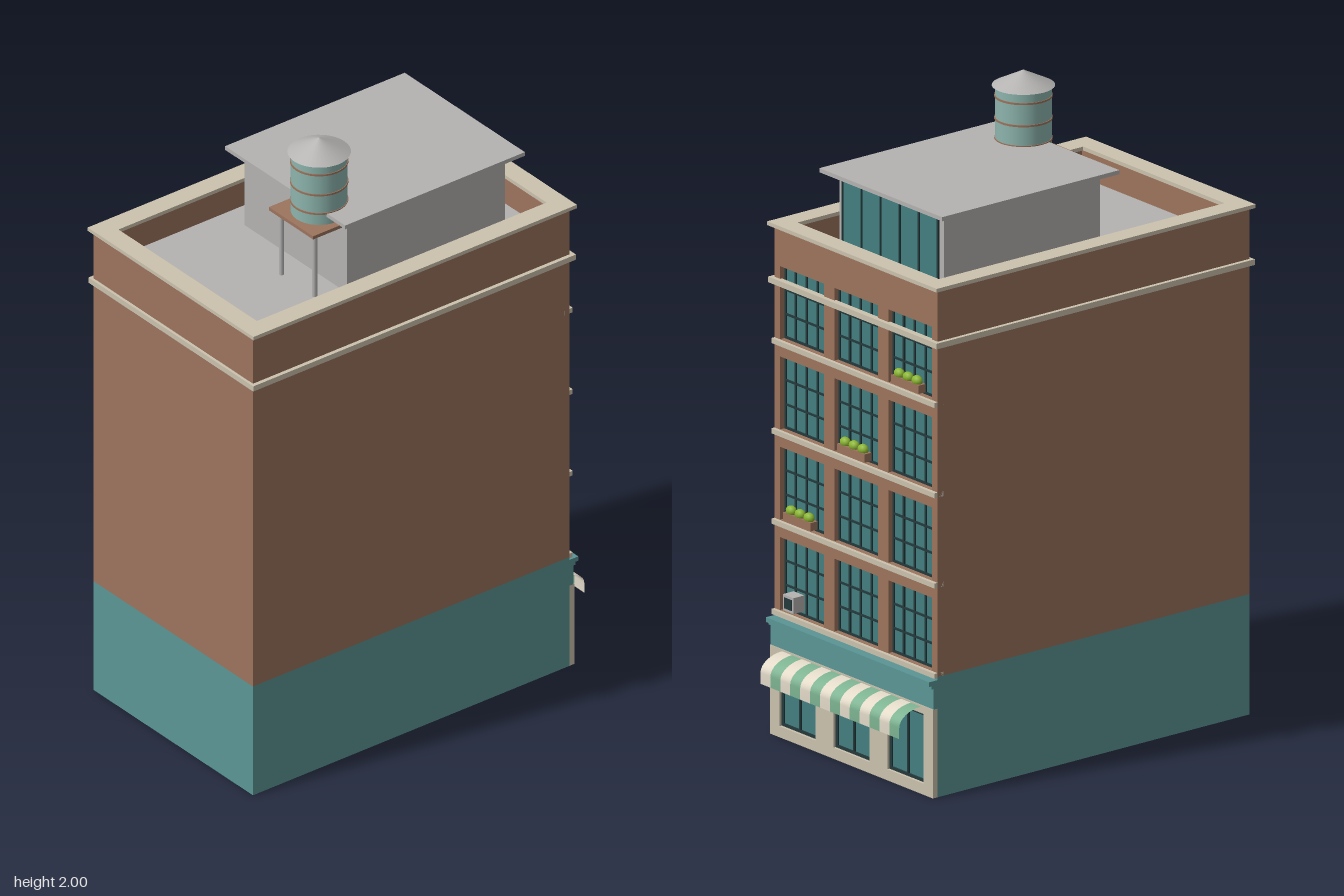
import * as THREE from 'three';

const mat = (name, color, side = THREE.FrontSide) => {
  const m = new THREE.MeshStandardMaterial({ color, side });
  m.name = name;
  return m;
};

export function createModel() {
  const root = new THREE.Group();
  root.name = 'cornerBuilding';
  const brick = mat('brick', 0x9c745d);
  const teal = mat('tealPaint', 0x5a9695);
  const grey = mat('roofGrey', 0xb4b3b2);
  const stone = mat('stone', 0xccc2ae);
  const tankMat = mat('tankGreen', 0x8db5ad);
  const glass = mat('glass', 0x437f80);
  const dark = mat('darkFrame', 0x23393b);
  const green = mat('awningGreen', 0x7db391, THREE.DoubleSide);
  const cream = mat('awningCream', 0xe2d9c8, THREE.DoubleSide);
  const leaf = mat('leafGreen', 0x8ab52f);

  const add = (name, geo, m, parent = root) => {
    const mesh = new THREE.Mesh(geo, m);
    mesh.name = name;
    parent.add(mesh);
    return mesh;
  };
  // box given by its minimum and maximum on each axis
  const box = (name, m, x0, x1, y0, y1, z0, z1, parent = root) =>
    add(name, new THREE.BoxGeometry(x1 - x0, y1 - y0, z1 - z0)
      .translate((x0 + x1) / 2, (y0 + y1) / 2, (z0 + z1) / 2), m, parent);
  const group = (name) => {
    const g = new THREE.Group();
    g.name = name;
    root.add(g);
    return g;
  };
  const rect = (P, x0, x1, y0, y1) => {
    const p = new P();
    p.moveTo(x0, y0).lineTo(x1, y0).lineTo(x1, y1).lineTo(x0, y1).closePath();
    return p;
  };
  // upright wall with rectangular openings [x0, x1, y0, y1]
  const wall = (name, m, outline, openings, z0, z1) => {
    const s = rect(THREE.Shape, ...outline);
    s.holes = openings.map((o) => rect(THREE.Path, ...o));
    const geo = new THREE.ExtrudeGeometry(s, { depth: z1 - z0, bevelEnabled: false });
    return add(name, geo.translate(0, 0, z0), m);
  };
  // rectangular ring around the roof edge
  const ring = (name, m, hx, z0, z1, ix, iz0, iz1, y0, y1) => {
    const s = rect(THREE.Shape, -hx, hx, -z1, -z0);
    s.holes = [rect(THREE.Path, -ix, ix, -iz1, -iz0)];
    const geo = new THREE.ExtrudeGeometry(s, { depth: y1 - y0, bevelEnabled: false });
    return add(name, geo.rotateX(-Math.PI / 2).translate(0, y0, 0), m);
  };

  const W = 0.385, BACK = 0.645, FACE = -0.557, WALL = -0.532;

  // main masses
  box('groundFloor', teal, -W, W, 0, 0.38, FACE, BACK);
  box('brickBody', brick, -W, W, 0.38, 1.51, WALL, BACK);
  ring('parapet', brick, W, FACE, BACK, 0.337, -0.508, 0.588, 1.51, 1.6);
  ring('coping', stone, 0.4, -0.573, 0.655, 0.334, -0.51, 0.59, 1.6, 1.612);
  ring('cornice', stone, 0.398, -0.571, 0.654, 0.38, -0.55, 0.64, 1.42, 1.438);
  box('roofDeck', grey, -0.337, 0.337, 1.51, 1.515, -0.508, 0.588);

  // upper windows, four floors of three
  const columns = [-0.255, 0, 0.255];
  const floors = [0, 1, 2, 3].map((i) => 0.393 + 0.285 * i);
  const hw = 0.103, h = 0.23;
  const openings = floors.flatMap((y) => columns.map((x) => [x - hw, x + hw, y, y + h]));
  wall('facade', brick, [-W, W, 0.38, 1.51], openings, FACE, WALL);
  const windows = group('windows');
  const barX = (x, y0, y1, z, t, g) => box('mullion', dark, x - t, x + t, y0, y1, z - 0.006, z, g);
  const barY = (y, x0, x1, z, t, g) => box('glazingBar', dark, x0, x1, y - t, y + t, z - 0.006, z, g);
  for (const [x0, x1, y0, y1] of openings) {
    box('pane', glass, x0, x1, y0, y1, WALL - 0.004, WALL, windows);
    for (let i = 0; i <= 4; i++)
      barX(x0 + ((x1 - x0) * i) / 4, y0, y1, WALL - 0.003, i % 4 ? 0.003 : 0.007, windows);
    for (let j = 0; j <= 3; j++)
      barY(y0 + ((y1 - y0) * j) / 3, x0, x1, WALL - 0.003, j % 3 ? 0.003 : 0.007, windows);
  }
  for (const y of floors) box('sill', stone, -W, W, y - 0.017, y - 0.001, -0.569, -0.535);

  // flower boxes climbing diagonally across the front
  [0.255, 0, -0.255].forEach((x, i) => {
    const g = group('flowerBox');
    const y = floors[i + 1] + 0.012;
    box('planter', brick, x - 0.065, x + 0.065, y, y + 0.026, -0.577, -0.55, g);
    for (let k = -1; k <= 1; k++) {
      const plant = add('plant', new THREE.SphereGeometry(0.02, 12, 8), leaf, g);
      plant.position.set(x + k * 0.042, y + 0.034, -0.564);
      plant.scale.set(1, 0.8, 0.75);
    }
  });

  // window air conditioner
  box('airConditioner', grey, 0.265, 0.315, 0.41, 0.46, -0.582, -0.54);
  box('airConditionerGrille', dark, 0.272, 0.308, 0.418, 0.452, -0.584, -0.582);

  // storefront
  const shop = group('storefront');
  const shopOpenings = columns.map((x) => [x - 0.085, x + 0.085, 0.035, 0.255]);
  wall('shopSurround', stone, [-W, W, 0, 0.28], shopOpenings, -0.575, FACE);
  for (const [x0, x1, y0, y1] of shopOpenings) {
    box('shopPane', glass, x0, x1, y0, y1, FACE - 0.004, FACE, shop);
    for (let i = 0; i <= 2; i++)
      barX((x0 * (2 - i) + x1 * i) / 2, y0, y1, FACE - 0.003, i === 1 ? 0.004 : 0.01, shop);
    for (const y of [y0, y1]) barY(y, x0, x1, FACE - 0.003, 0.009, shop);
  }
  box('shopFascia', teal, -W, W, 0.28, 0.345, -0.572, FACE);
  box('shopCorniceLower', teal, -W, W, 0.345, 0.355, -0.58, FACE);
  box('shopCorniceUpper', teal, -W, W, 0.355, 0.37, -0.59, FACE);

  // striped awning: a curved hood ending in a short drop
  const awning = group('awning');
  const count = 14, stripe = 0.655 / count, rows = 9;
  for (let i = 0; i < count; i++) {
    const geo = new THREE.PlaneGeometry(stripe, 1, 1, rows);
    const p = geo.attributes.position;
    for (let v = 0; v < p.count; v++) {
      const r = Math.floor(v / 2);
      const a = (Math.min(r / (rows - 1), 1) * Math.PI) / 2;
      const y = r === rows ? 0.19 : 0.225 + 0.05 * Math.cos(a);
      p.setXYZ(v, -p.getX(v) - 0.3275 + stripe * (i + 0.5), y, -0.573 - 0.085 * Math.sin(a));
    }
    geo.computeVertexNormals();
    add('awningStripe', geo, i % 2 ? cream : green, awning);
  }

  // rooftop penthouse with a glazed front
  const pent = group('penthouse');
  box('penthouseWalls', grey, -0.247, 0.247, 1.515, 1.772, -0.42, 0.18, pent);
  box('penthouseRoof', grey, -0.29, 0.29, 1.772, 1.785, -0.462, 0.22, pent);
  box('penthouseGlass', glass, -0.225, 0.225, 1.53, 1.755, -0.424, -0.42, pent);
  for (let i = 0; i <= 5; i++) barX(-0.225 + 0.09 * i, 1.53, 1.755, -0.422, 0.003, pent);

  // water tower
  const tower = group('waterTower');
  const cx = 0.122, cz = 0.187;
  const round = (name, r0, r1, y0, y1, m, seg = 32) =>
    add(name, new THREE.CylinderGeometry(r1, r0, y1 - y0, seg), m, tower)
      .position.set(cx, (y0 + y1) / 2, cz);
  box('platform', brick, cx - 0.107, cx + 0.107, 1.735, 1.746, cz - 0.107, cz + 0.107, tower);
  for (const sx of [-1, 1]) for (const sz of [-1, 1])
    add('towerLeg', new THREE.CylinderGeometry(0.008, 0.008, 0.22, 10), grey, tower)
      .position.set(cx + sx * 0.08, 1.625, cz + sz * 0.08);
  round('tank', 0.085, 0.085, 1.746, 1.955, tankMat);
  for (const y of [1.785, 1.85, 1.92]) round('tankHoop', 0.0875, 0.0875, y - 0.003, y + 0.003, brick);
  add('tankRoof', new THREE.ConeGeometry(0.095, 0.048, 32), grey, tower).position.set(cx, 1.976, cz);

  return root;
}
